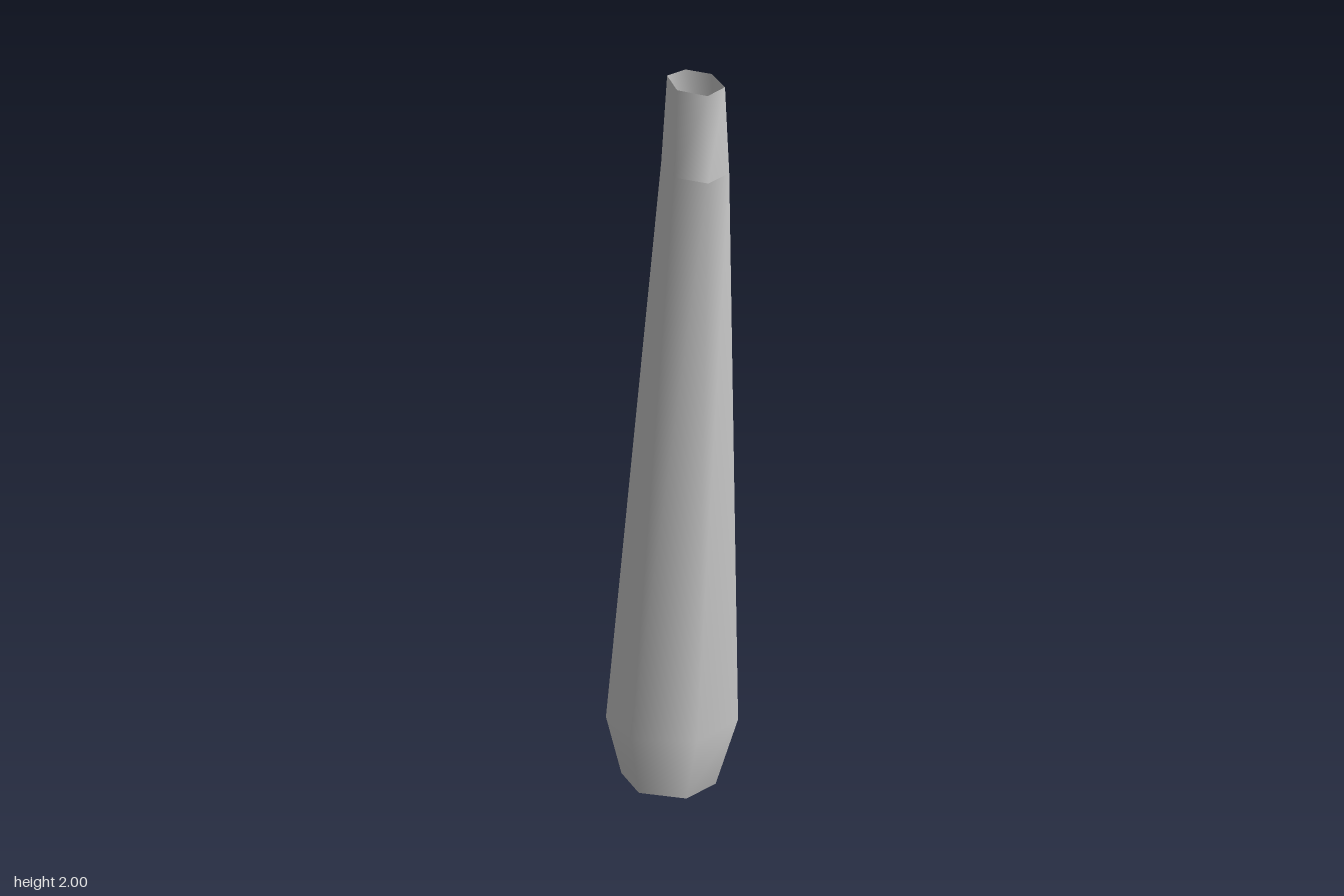
import * as THREE from 'three';

// Each ring is six [x, y, z] corners, starting at the back left and going round by the right.
const bottomRim = [[-0.055, 0.01, -0.115], [0.068, 0.005, -0.097], [0.112, 0, 0.018],
  [0.035, 0, 0.115], [-0.088, 0.008, 0.095], [-0.132, 0.015, -0.02]];
const shoulder = [[-0.063, 0.175, -0.163], [0.108, 0.18, -0.136], [0.17, 0.185, 0.027],
  [0.062, 0.18, 0.161], [-0.108, 0.175, 0.134], [-0.172, 0.17, -0.029]];
const neck = [[0.028, 1.75, -0.068], [0.117, 1.74, -0.054], [0.147, 1.732, 0.038],
  [0.092, 1.735, 0.114], [0.004, 1.745, 0.097], [-0.029, 1.755, 0.013]];
const topRim = [[0.035, 1.99, -0.043], [0.102, 1.982, -0.031], [0.136, 1.975, 0.039],
  [0.09, 1.98, 0.11], [0.011, 1.99, 0.093], [-0.014, 2, 0.02]];

// Joins a stack of rings into an open tube with smooth normals.
function loft(name, rings, material) {
  const n = rings[0].length;
  const index = [];
  for (let r = 0; r < rings.length - 1; r++) {
    for (let i = 0; i < n; i++) {
      const a = r * n + i, b = r * n + (i + 1) % n;
      index.push(a, a + n, b, b, a + n, b + n);
    }
  }
  const geometry = new THREE.BufferGeometry();
  geometry.setAttribute('position', new THREE.Float32BufferAttribute(rings.flat(2), 3));
  geometry.setIndex(index);
  geometry.computeVertexNormals();
  const mesh = new THREE.Mesh(geometry, material);
  mesh.name = name;
  return mesh;
}

export function createModel() {
  const group = new THREE.Group();
  group.name = 'taperedTube';
  const material = new THREE.MeshStandardMaterial({ color: 0xcccccc, side: THREE.DoubleSide });
  // Long tapered body with a drawn-in foot, and a separate collar so the seam stays crisp
  group.add(loft('body', [bottomRim, shoulder, neck], material));
  group.add(loft('collar', [neck, topRim], material));
  return group;
}
